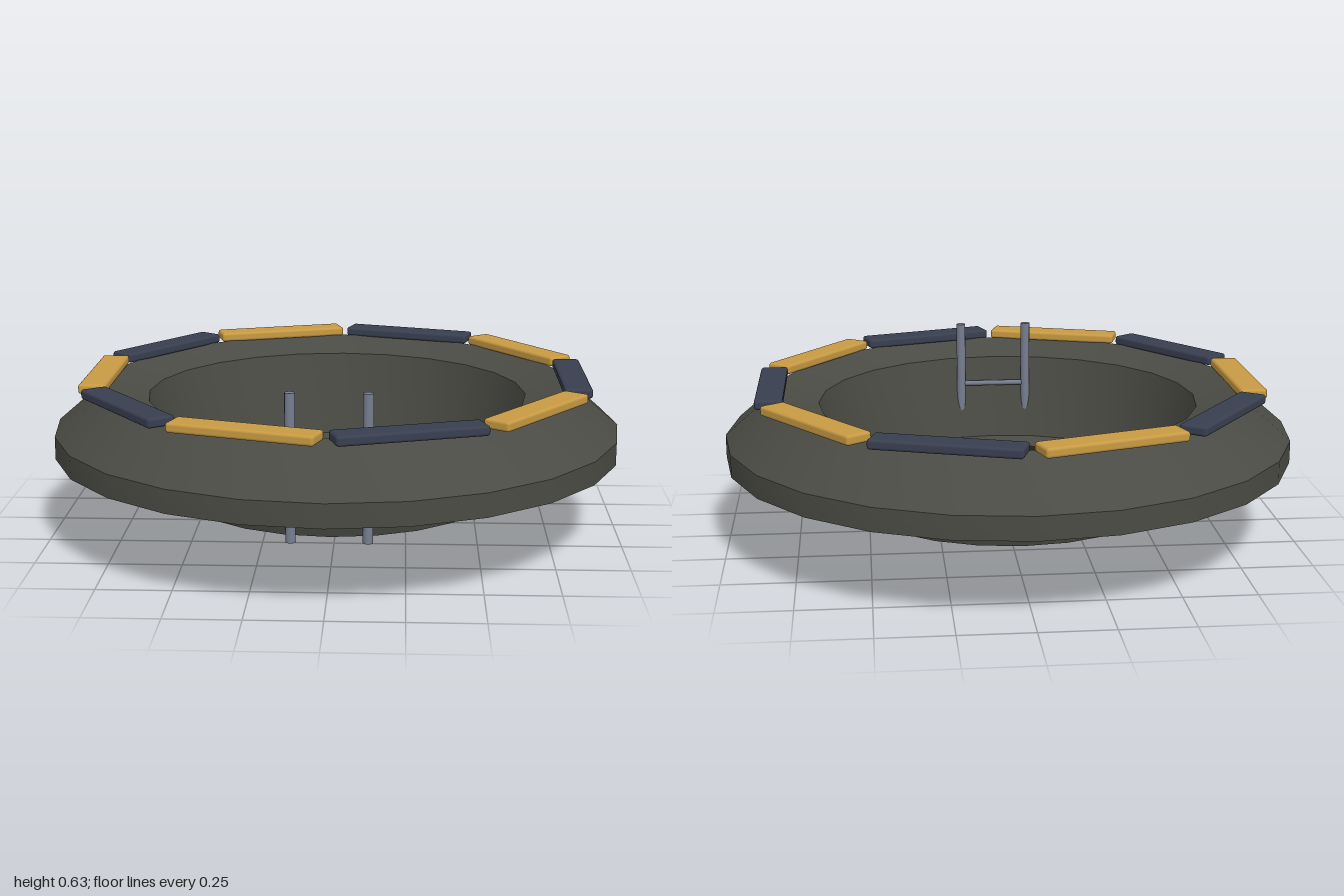
import * as THREE from 'three';
import { toCreasedNormals } from 'three/addons/utils/BufferGeometryUtils.js';
import { RoundedBoxGeometry } from 'three/addons/geometries/RoundedBoxGeometry.js';

const material = (name, color) => {
  const m = new THREE.MeshStandardMaterial({ color });
  m.name = name;
  return m;
};

export function createModel() {
  const stone = material('dark stone', 0x4b4b45);
  const floorDark = material('dark olive', 0x22200d);
  const gold = material('gold', 0xc89a43);
  const navy = material('navy', 0x393f50);
  const metal = material('metal', 0x787e90);

  const group = new THREE.Group();
  const add = (name, geometry, mat, x = 0, y = 0, z = 0) => {
    const mesh = new THREE.Mesh(geometry, mat);
    mesh.name = name;
    mesh.position.set(x, y, z);
    group.add(mesh);
    return mesh;
  };

  // Basin: underside cone, step, outer flare, rim, inner wall and floor
  const profile = [
    [0, 0], [0.39, 0.112], [0.575, 0.13], [0.59, 0.18], [1, 0.295], [1, 0.375],
    [0.82, 0.53], [0.67, 0.485], [0.6, 0.18], [0.49, 0.165],
  ].map(([r, y]) => new THREE.Vector2(r, y));
  add('basin', toCreasedNormals(new THREE.LatheGeometry(profile, 24), 0.6), stone);

  // Dark disc in the middle of the floor
  const disc = new THREE.CircleGeometry(0.5, 24);
  disc.rotateX(-Math.PI / 2);
  add('floorDisc', disc, floorDark, 0, 0.168, 0);

  // Ten rim blocks in alternating colours
  const block = new RoundedBoxGeometry(0.096, 0.034, 0.498, 2, 0.01);
  for (let i = 0; i < 10; i++) {
    const a = (i / 10) * Math.PI * 2;
    const mesh = add(`rimBlock${i + 1}`, block, i % 2 ? gold : navy,
      0.833 * Math.cos(a), 0.543, 0.833 * Math.sin(a));
    mesh.rotation.y = -a;
  }

  // Ladder: two legs through the floor and a thin rung
  const leg = new THREE.CylinderGeometry(0.017, 0.017, 0.5, 12);
  for (const side of [-1, 1]) {
    add(side < 0 ? 'rightLadderLeg' : 'leftLadderLeg', leg, metal, side * 0.126, 0.378, 0.624);
  }
  const rung = new THREE.CylinderGeometry(0.01, 0.01, 0.25, 10);
  rung.rotateZ(Math.PI / 2);
  add('ladderRung', rung, metal, 0, 0.39, 0.624);

  return group;
}
